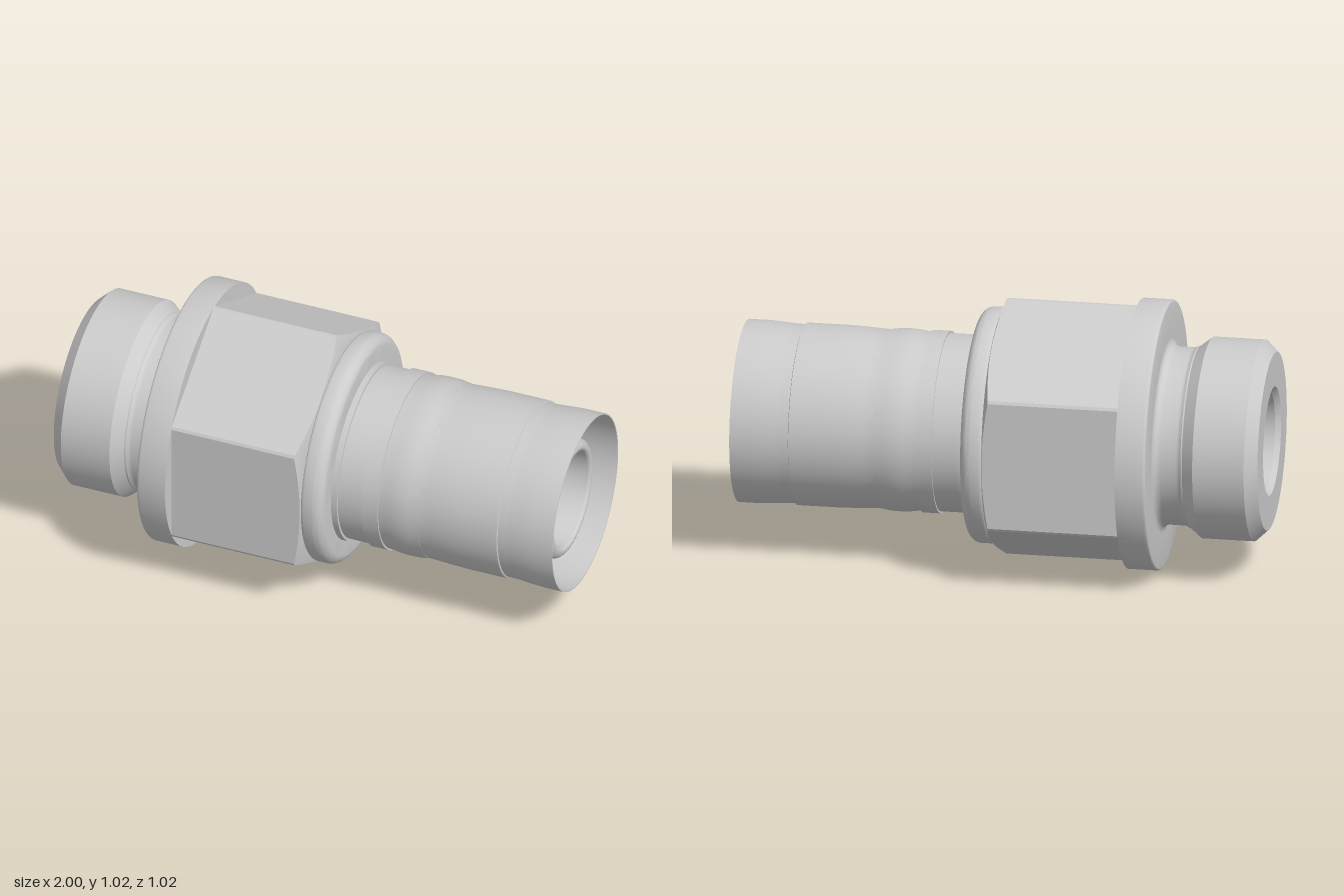
import * as THREE from 'three';
import { toCreasedNormals } from 'three/addons/utils/BufferGeometryUtils.js';

const AXIS_Y = 0.508;
const BORE = 0.187;
const FLANGE_R = 0.508;
const FLAT_R = 0.443;

const material = new THREE.MeshStandardMaterial({ color: 0xcccccc, side: THREE.DoubleSide });

// Arc points [x, radius] around a centre, for rounded profile edges
function arc(cx, cr, rad, from, to, steps = 6) {
  return Array.from({ length: steps + 1 }, (_, i) => {
    const a = THREE.MathUtils.degToRad(from + ((to - from) * i) / steps);
    return [cx + rad * Math.cos(a), cr + rad * Math.sin(a)];
  });
}

// Turned part: profile of [x, radius] spun around the x axis
function turned(name, profile) {
  const lathe = new THREE.LatheGeometry(profile.map(([x, r]) => new THREE.Vector2(r, x)), 96);
  lathe.rotateZ(-Math.PI / 2);
  const mesh = new THREE.Mesh(toCreasedNormals(lathe, 0.42), material);
  mesh.name = name;
  return mesh;
}

// Hexagon prism with clipped corners and a conical chamfer at its +x end
function hexBody() {
  const half = Math.acos(FLAT_R / FLANGE_R);
  const steps = 24;
  const positions = [];
  const index = [];
  for (let side = 0; side < 6; side++) {
    for (let j = 0; j <= steps; j++) {
      const local = -half + (2 * half * j) / steps;
      const theta = local + Math.PI / 6 + (side * Math.PI) / 3;
      const r = FLAT_R / Math.cos(local);
      const rings = [[-0.5, r], [0.005 + (FLANGE_R - r) * 0.35, r], [0.03, 0.437], [0.03, 0.3]];
      for (const [x, rr] of rings) positions.push(x, rr * Math.cos(theta), rr * Math.sin(theta));
    }
  }
  const columns = 6 * (steps + 1);
  for (let j = 0; j < columns; j++) {
    for (let i = 0; i < 3; i++) {
      const a = j * 4 + i;
      const c = ((j + 1) % columns) * 4 + i;
      index.push(a, c, a + 1, a + 1, c, c + 1);
    }
  }
  const geo = new THREE.BufferGeometry();
  geo.setAttribute('position', new THREE.Float32BufferAttribute(positions, 3));
  geo.setIndex(index);
  const mesh = new THREE.Mesh(toCreasedNormals(geo, 0.4), material);
  mesh.name = 'hexBody';
  return mesh;
}

export function createModel() {
  const group = new THREE.Group();
  group.name = 'pipeCoupling';

  // Chamfered connecting end with an undercut neck
  group.add(turned('connectingEnd', [
    [-0.98, BORE], [-1, 0.205], [-1, 0.335], [-0.955, 0.378], [-0.76, 0.378],
    [-0.715, 0.342], ...arc(-0.69, 0.361, 0.027, 225, 270, 4),
    ...arc(-0.632, 0.364, 0.03, 270, 360), [-0.602, 0.4],
  ]));

  // Round flange
  group.add(turned('flange', [
    [-0.602, 0.36], ...arc(-0.592, FLANGE_R - 0.01, 0.01, 180, 90, 4),
    [-0.487, FLANGE_R], [-0.487, 0.3],
  ]));

  group.add(hexBody());

  // Rounded collar
  group.add(turned('collar', [
    [0.02, 0.43], ...arc(0.04, FLAT_R - 0.012, 0.012, 180, 90, 4),
    ...arc(0.073, FLAT_R - 0.042, 0.042, 90, 0, 8), [0.115, 0.32],
  ]));

  // Sleeve with shallow grooves, open at the end, with a stepped socket inside
  group.add(turned('sleeve', [
    [0.11, 0.345], [0.138, 0.345], [0.138, 0.334], [0.235, 0.334], [0.235, 0.342],
    [0.3, 0.342], [0.3, 0.335], [0.325, 0.337], [0.35, 0.341], [0.38, 0.343],
    [0.42, 0.342], [0.46, 0.336], [0.46, 0.335], [0.5, 0.337], [0.56, 0.34],
    [0.62, 0.342], [0.777, 0.342], [0.78, 0.334], [0.82, 0.336], [0.87, 0.34],
    [0.92, 0.343], [1, 0.343], [1, 0.338], [0.75, 0.335], [0.75, 0.322],
    [0.6, 0.3], [0.6, 0.2],
  ]));

  // Inner tube with rounded tip and the through bore
  group.add(turned('innerTube', [
    [0.55, 0.232], ...arc(0.918, 0.2, 0.032, 90, 0, 8),
    ...arc(0.937, 0.2, 0.013, 0, -90, 4), [-0.98, BORE],
  ]));

  group.position.y = AXIS_Y;
  const model = new THREE.Group();
  model.name = 'coupling';
  model.add(group);
  return model;
}
